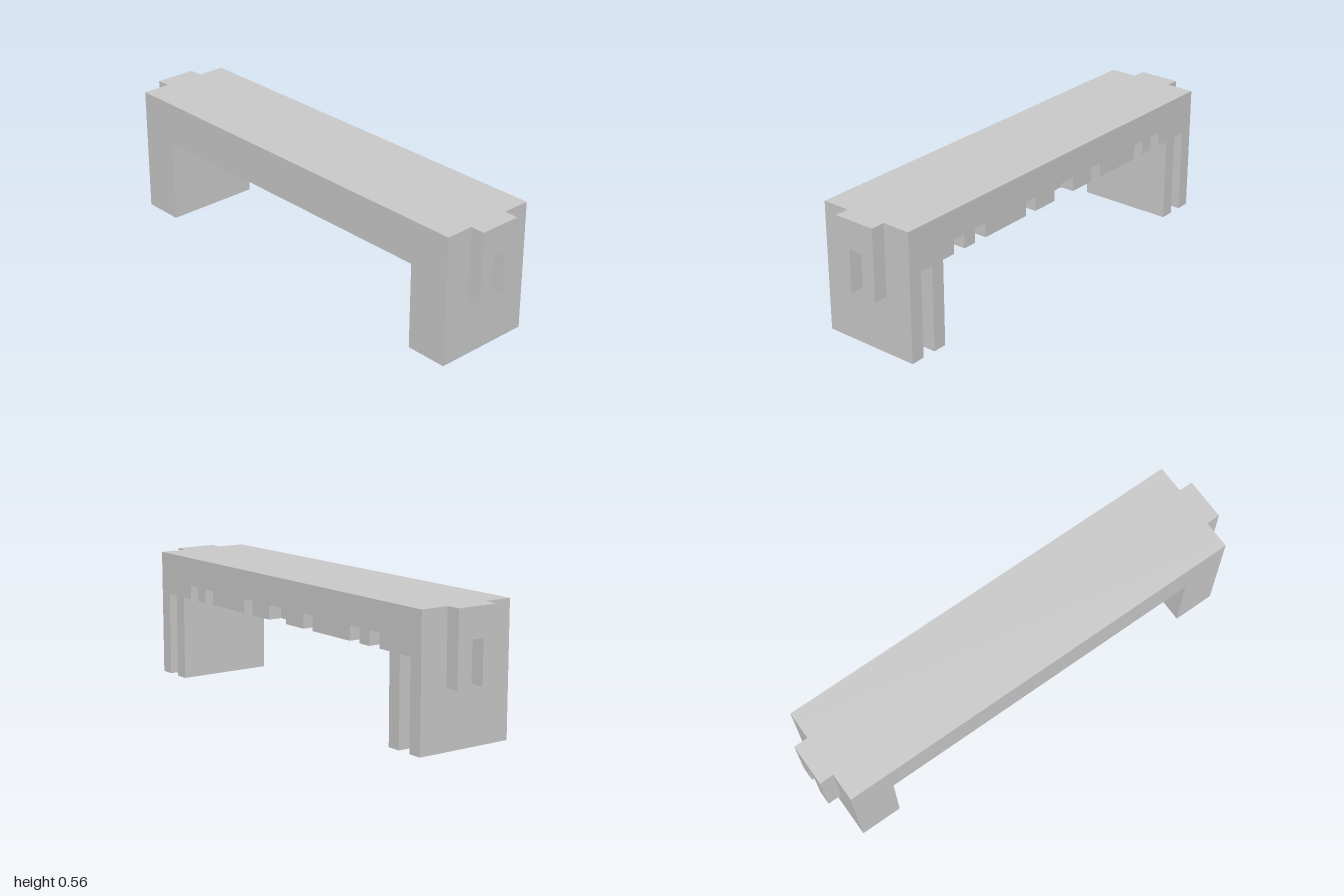
import * as THREE from 'three';

const U = 1 / 16; // every dimension below is in sixteenths

export function createModel() {
  const model = new THREE.Group();
  const material = new THREE.MeshStandardMaterial({ color: 0xcccccc, flatShading: true });

  const toPath = (points, Type = THREE.Shape) =>
    new Type(points.map(([x, y]) => new THREE.Vector2(x * U, y * U)));
  // Mirrors a half outline (running from outside to the middle) across x = 0
  const mirrored = (half) => [...half, ...half.map(([x, y]) => [-x, y]).reverse()];
  const rect = (x0, x1, y0, y1) => [[x0, y0], [x0, y1], [x1, y1], [x1, y0]];
  const extrude = (shape, depth) =>
    new THREE.ExtrudeGeometry(shape, { depth: depth * U, bevelEnabled: false });

  const add = (name, geometry) => {
    const mesh = new THREE.Mesh(geometry, material);
    mesh.name = name;
    model.add(mesh);
    return mesh;
  };

  // Main bridge: top beam on two legs
  const bridge = toPath(mirrored([[15, 9], [15, 0], [12, 0], [12, 6]]));
  add('bridgeBody', extrude(bridge, 6)).position.z = -2.5 * U;

  // Back layer: slots in the legs, notches along the beam and two windows
  const back = toPath(mirrored([
    [15, 9], [15, 0], [14, 0], [14, 6], [13, 6], [13, 0], [12, 0], [12, 6],
    [11, 6], [11, 7], [10, 7], [10, 6], [9, 6], [9, 7], [8, 7], [8, 6],
    [4, 6], [4, 7], [3, 7], [3, 6], [1, 6], [1, 7],
  ]));
  back.holes.push(toPath(rect(5, 7, 7, 8), THREE.Path), toPath(rect(-7, -5, 7, 8), THREE.Path));
  add('notchedBackPanel', extrude(back, 1)).position.z = -3.5 * U;

  // Forked tab on each end
  const fork = toPath(mirrored([[1.5, 9], [1.5, 4], [0.5, 4], [0.5, 7]]));
  const forkGeometry = extrude(fork, 1).rotateY(Math.PI / 2);
  add('leftEndTab', forkGeometry).position.x = 15 * U;
  add('rightEndTab', forkGeometry).position.x = -16 * U;

  return model;
}
